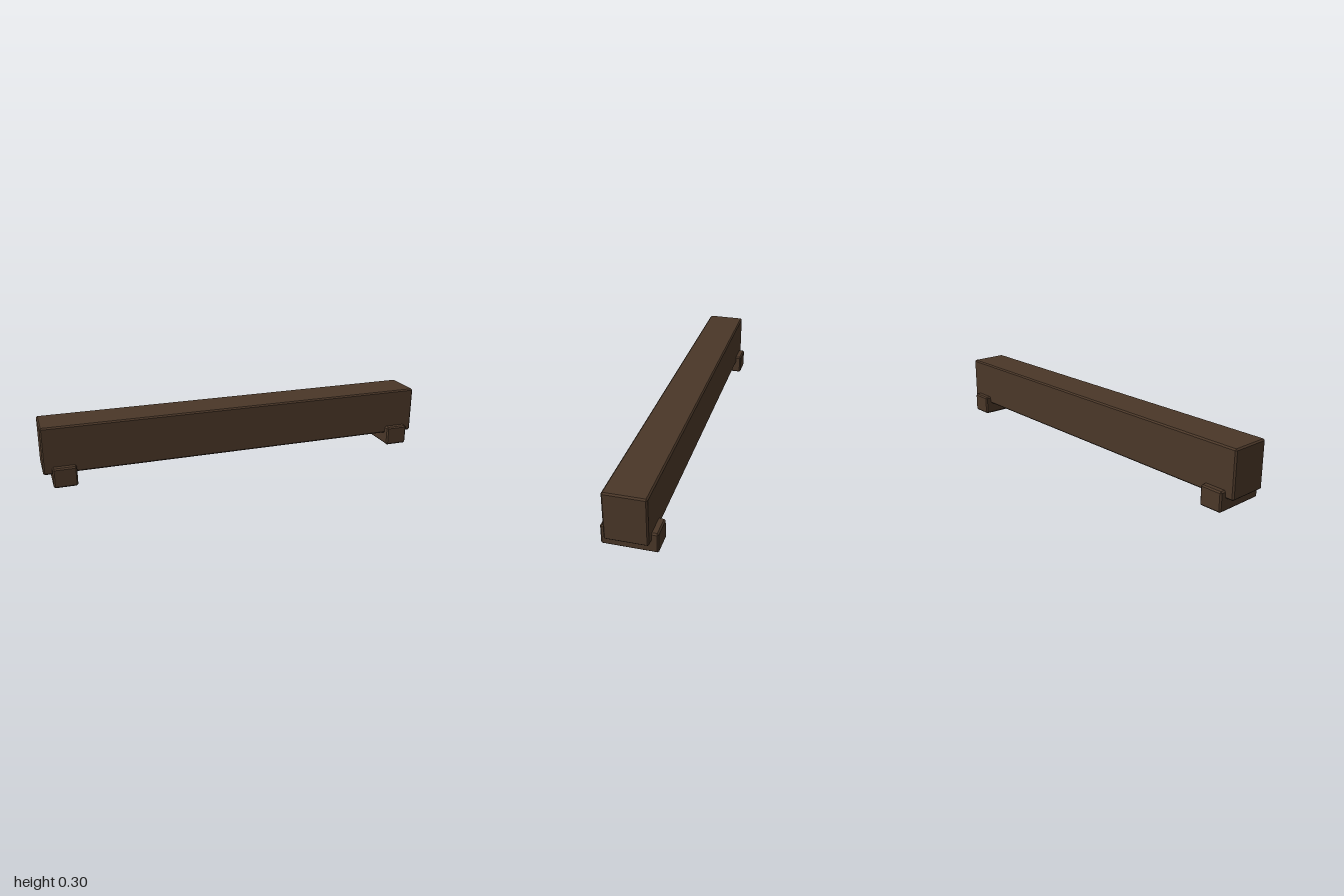
import * as THREE from 'three';
import { ConvexGeometry } from 'three/addons/geometries/ConvexGeometry.js';

// Box with every edge cut by a flat chamfer
function chamferedBox(w, h, d, c) {
  const points = [];
  for (const sx of [-1, 1]) for (const sy of [-1, 1]) for (const sz of [-1, 1]) {
    const x = w / 2, y = h / 2, z = d / 2;
    points.push(
      new THREE.Vector3(sx * x, sy * (y - c), sz * (z - c)),
      new THREE.Vector3(sx * (x - c), sy * y, sz * (z - c)),
      new THREE.Vector3(sx * (x - c), sy * (y - c), sz * z)
    );
  }
  return new ConvexGeometry(points);
}

export function createModel() {
  const group = new THREE.Group();
  group.name = 'woodenBeam';
  const darkWood = new THREE.MeshStandardMaterial({ color: 0x4a3728 });
  darkWood.name = 'darkWood';

  // Long beam
  const beam = new THREE.Mesh(chamferedBox(2, 0.238, 0.2, 0.007), darkWood);
  beam.name = 'beam';
  beam.position.y = 0.181;
  group.add(beam);

  // Cross blocks that carry the beam near each end
  const footGeometry = chamferedBox(0.116, 0.1, 0.26, 0.007);
  for (const side of [-1, 1]) {
    const foot = new THREE.Mesh(footGeometry, darkWood);
    foot.name = side > 0 ? 'leftFoot' : 'rightFoot';
    foot.position.set(side * 0.9, 0.05, 0);
    group.add(foot);
  }
  return group;
}
